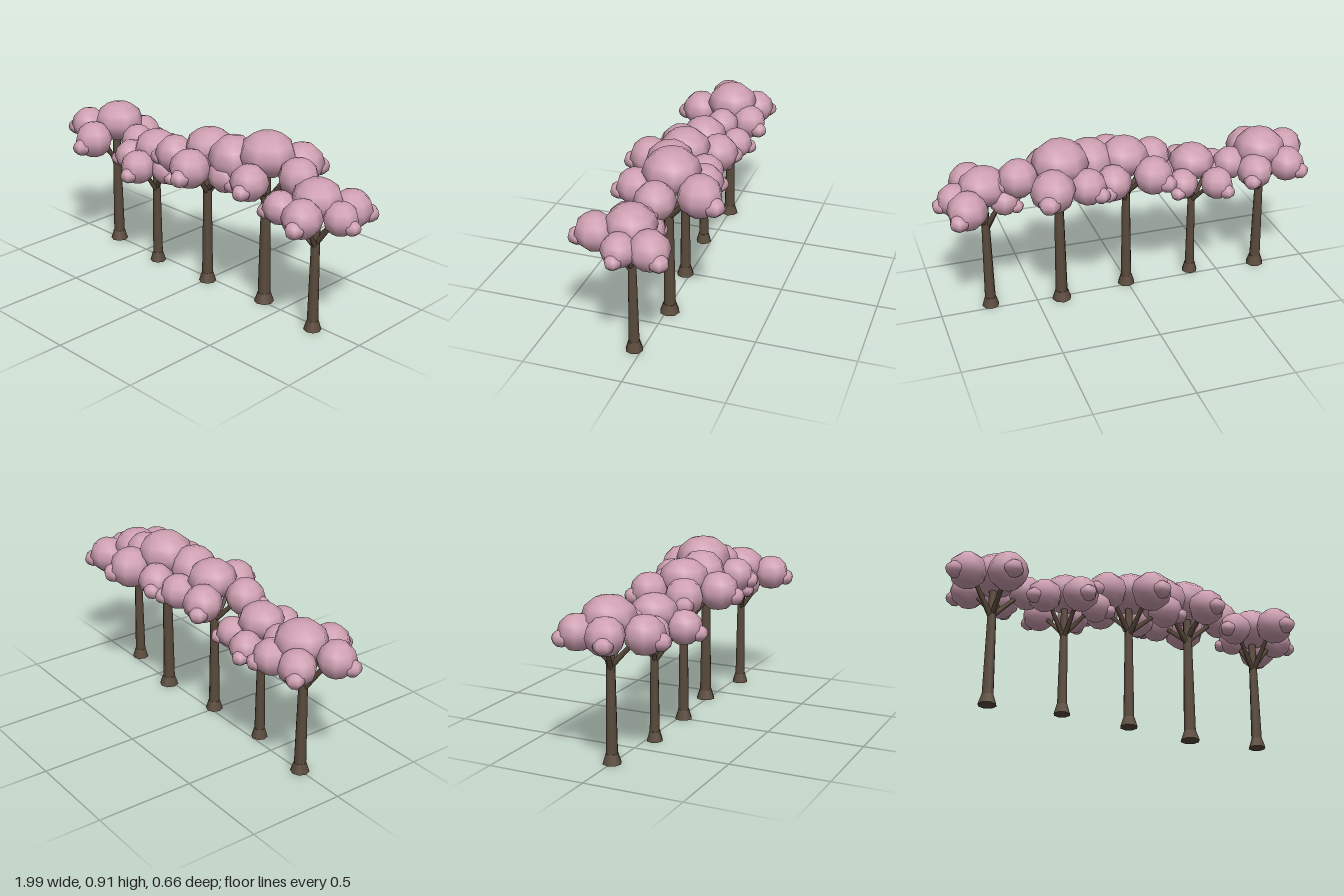
import * as THREE from 'three';

const blossom = new THREE.MeshStandardMaterial({ color: 0xcfa0b2 });
blossom.name = 'blossom pink';
const bark = new THREE.MeshStandardMaterial({ color: 0x5a4a3c });
bark.name = 'bark brown';

// Central crown ball of each tree: x, y, z, radius
const CROWNS = [
  [-0.71, 0.703, -0.01, 0.13],
  [-0.355, 0.655, 0.04, 0.115],
  [0.02, 0.748, 0.02, 0.125],
  [0.365, 0.79, -0.03, 0.14],
  [0.74, 0.685, 0.035, 0.122],
];

// Lobes around each crown: x, y, z, radius
const LOBES = [
  [[-0.88, 0.66, 0.06, 0.095], [-0.71, 0.64, 0.17, 0.1], [-0.815, 0.645, -0.12, 0.092],
    [-0.64, 0.63, -0.125, 0.092], [-0.55, 0.635, 0, 0.087]],
  [[-0.335, 0.59, 0.19, 0.09], [-0.435, 0.59, -0.115, 0.084], [-0.265, 0.59, -0.07, 0.08],
    [-0.49, 0.59, 0.1, 0.085], [-0.215, 0.585, 0.1, 0.08]],
  [[0.055, 0.69, 0.195, 0.103], [-0.15, 0.69, 0.1, 0.1], [-0.09, 0.69, -0.12, 0.1],
    [0.12, 0.68, -0.12, 0.093], [0.19, 0.66, 0.08, 0.09]],
  [[0.445, 0.72, -0.195, 0.11], [0.575, 0.73, -0.02, 0.1], [0.405, 0.7, 0.14, 0.095],
    [0.2, 0.74, 0.035, 0.125], [0.26, 0.7, -0.16, 0.093]],
  [[0.785, 0.647, 0.195, 0.097], [0.885, 0.632, 0.04, 0.085], [0.845, 0.63, -0.09, 0.1],
    [0.585, 0.62, 0.12, 0.085], [0.65, 0.62, -0.02, 0.075]],
];

function addMesh(parent, name, geometry, material) {
  const mesh = new THREE.Mesh(geometry, material);
  mesh.name = name;
  parent.add(mesh);
  return mesh;
}

// Squashed foliage ball, turned about the vertical axis
function addBall(parent, name, x, y, z, r, squash, sides, turn) {
  const ball = addMesh(parent, name, new THREE.SphereGeometry(r, sides, 6), blossom);
  ball.position.set(x, y, z);
  ball.scale.y = squash;
  ball.rotation.y = turn;
}

// Tapered branch between two points
function addBranch(parent, from, to, r) {
  const dir = to.clone().sub(from);
  const branch = addMesh(parent, 'branch',
    new THREE.CylinderGeometry(r * 0.7, r, dir.length(), 6), bark);
  branch.position.copy(from).addScaledVector(dir, 0.5);
  branch.quaternion.setFromUnitVectors(new THREE.Vector3(0, 1, 0), dir.normalize());
}

function makeTree([cx, cy, cz, cr], index) {
  const tree = new THREE.Group();
  tree.name = 'tree';
  const footX = -0.725 + index * 0.366;
  const footZ = cz * 0.8 + 0.008;
  const r = cr * 0.235;

  // Trunk and flared root collar
  const height = cy - 0.06;
  const trunk = addMesh(tree, 'trunk',
    new THREE.CylinderGeometry(r * 0.65, r, height, 8), bark);
  trunk.position.set(footX, height / 2, footZ);
  const collar = addMesh(tree, 'rootFlare',
    new THREE.CylinderGeometry(r * 1.02, r * 1.55, 0.05, 8), bark);
  collar.position.set(footX, 0.025, footZ);

  // Central crown, then lobes with an outer tuft and a supporting branch each
  addBall(tree, 'crown', cx, cy, cz, cr * 1.03, 0.8, 8, Math.PI / 8);
  LOBES[index].forEach(([x, y, z, lr], i) => {
    const angle = Math.atan2(z - cz, x - cx);
    const reach = lr * 0.83;
    addBall(tree, 'lobe', x, y, z, lr * 1.02, 0.95, 8, Math.PI / 8 - angle);
    addBall(tree, 'tuft', x + Math.cos(angle) * reach, y - 0.025,
      z + Math.sin(angle) * reach, lr * 0.5, 0.88, 6, Math.PI / 6 - angle);
    addBranch(tree,
      new THREE.Vector3(footX, cy - 0.25 + (i % 3) * 0.02, footZ),
      new THREE.Vector3(x, y - 0.02, z).lerp(new THREE.Vector3(footX, y - 0.02, footZ), 0.2),
      r * 0.48);
  });
  return tree;
}

export function createModel() {
  const row = new THREE.Group();
  row.name = 'treeRow';
  CROWNS.forEach((crown, index) => row.add(makeTree(crown, index)));
  return row;
}
